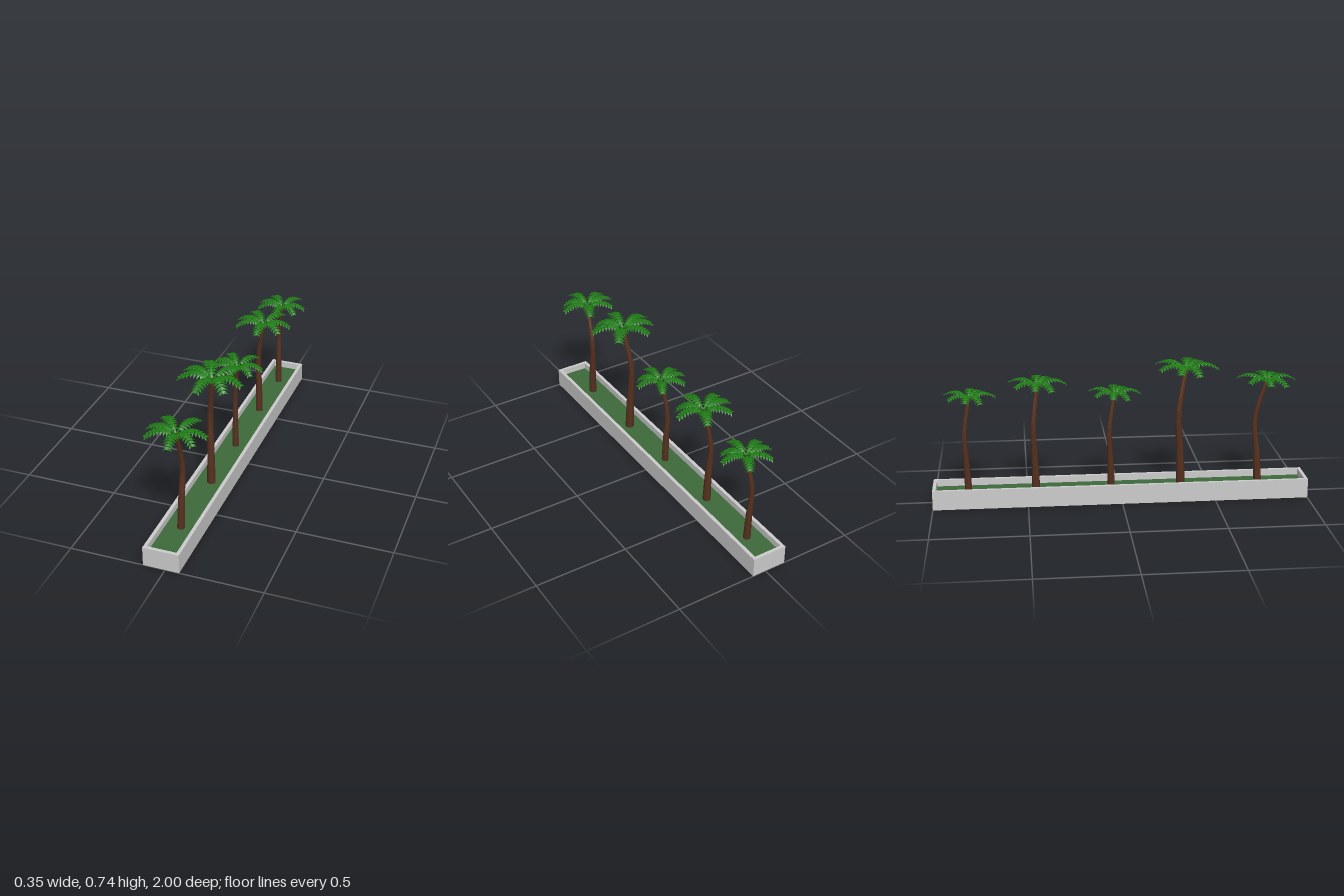
import * as THREE from 'three';

const concrete = new THREE.MeshStandardMaterial({ color: 0xcccccc });
const grass = new THREE.MeshStandardMaterial({ color: 0x3d693a });
const bark = new THREE.MeshStandardMaterial({ color: 0x54301f, flatShading: true });
const leaf = new THREE.MeshStandardMaterial({ color: 0x1f7d14, flatShading: true, side: THREE.DoubleSide });

const SOIL = 0.07;
const CENTRE_X = -0.021;
const v = (x, y, z) => new THREE.Vector3(x, y, z);

function mesh(name, geometry, material) {
  const m = new THREE.Mesh(geometry, material);
  m.name = name;
  return m;
}

// Long open trough with a raised rim and a bed of grass
function createPlanter() {
  const group = new THREE.Group();
  group.name = 'planter';
  const [w, h, d, t] = [0.188, 0.105, 2, 0.018];
  const rectangle = (Type, x, y) => new Type([
    new THREE.Vector2(-x, -y), new THREE.Vector2(x, -y), new THREE.Vector2(x, y), new THREE.Vector2(-x, y),
  ]);
  const outline = rectangle(THREE.Shape, w / 2, d / 2);
  outline.holes.push(rectangle(THREE.Path, w / 2 - t, d / 2 - t));
  const walls = new THREE.ExtrudeGeometry(outline, { depth: h, bevelEnabled: false });
  walls.rotateX(-Math.PI / 2);
  const base = new THREE.BoxGeometry(w - 2 * t, 0.02, d - 2 * t).translate(0, 0.01, 0);
  const bed = new THREE.BoxGeometry(w - 2 * t, SOIL - 0.02, d - 2 * t).translate(0, (SOIL + 0.02) / 2, 0);
  group.add(mesh('planterWalls', walls, concrete), mesh('planterBase', base, concrete), mesh('grassBed', bed, grass));
  group.position.x = CENTRE_X;
  return group;
}

// Tapered trunk whose rings follow a bent path
function trunkGeometry(path, radii) {
  const rings = 10;
  const g = new THREE.CylinderGeometry(1, 1, 1, 8, rings);
  const p = g.attributes.position;
  for (let i = 0; i < p.count; i++) {
    const t = p.getY(i) + 0.5;
    const c = path.getPoint(t);
    const r = THREE.MathUtils.lerp(radii[0], radii[1], t);
    p.setXYZ(i, c.x + p.getX(i) * r, c.y, c.z + p.getZ(i) * r);
  }
  g.computeVertexNormals();
  return g;
}

// Arched frond along +x: a slim midrib with pairs of pointed, drooping leaflets
function frondGeometry(length, tipDrop) {
  const spine = new THREE.CatmullRomCurve3([
    v(0, -0.045, 0), v(length * 0.22, -0.014, 0), v(length * 0.48, -0.002, 0),
    v(length * 0.76, -tipDrop * 0.35, 0), v(length, -tipDrop, 0),
  ]);
  const out = [];
  const tri = (...pts) => pts.forEach((q) => out.push(q.x, q.y, q.z));
  const pairs = 9;
  for (let i = 0; i < pairs; i++) {
    const t = 0.14 + (0.8 * i) / pairs;
    const a = spine.getPoint(t);
    const b = spine.getPoint(t + 0.085);
    const spread = 0.014 + 0.026 * Math.sin(Math.PI * Math.min(1, 0.12 + t * 0.86));
    for (const s of [1, -1]) {
      const tip = a.clone().add(v(0.022, -0.016, s * spread));
      const near = a.clone().lerp(tip, 0.5).add(v(-0.004, 0.004, s * 0.002));
      const far = b.clone().lerp(tip, 0.5).add(v(0.003, 0.004, s * 0.002));
      tri(a, near, b);
      tri(near, far, b);
      tri(near, tip, far);
    }
  }
  // Midrib ribbon and end leaflet
  const steps = 8;
  for (let i = 0; i < steps; i++) {
    const a = spine.getPoint(i / steps);
    const b = spine.getPoint((i + 1) / steps);
    const wa = v(0, 0, 0.006 * (1 - i / steps));
    const wb = v(0, 0, 0.006 * (1 - (i + 1) / steps));
    tri(a.clone().sub(wa), a.clone().add(wa), b.clone().add(wb));
    tri(a.clone().sub(wa), b.clone().add(wb), b.clone().sub(wb));
  }
  const g = new THREE.BufferGeometry();
  g.setAttribute('position', new THREE.Float32BufferAttribute(out, 3));
  g.computeVertexNormals();
  return g;
}

const frondAngles = [-62, 2, 38, 88, 153, 187, 233];
const frondLengths = [0.18, 0.178, 0.155, 0.178, 0.178, 0.165, 0.172];
const frondDrops = [0.035, 0.043, 0.06, 0.045, 0.052, 0.04, 0.03];

// mid and top are [x, z] offsets of the trunk from its foot
function createPalm({ z, scale, turn, mid, top }) {
  const palm = new THREE.Group();
  palm.name = 'palmTree';
  const height = 0.672 * scale;
  const path = new THREE.CatmullRomCurve3([
    v(0, 0, 0), v(mid[0] * 0.4, height * 0.28, mid[1] * 0.4),
    v(mid[0], height * 0.58, mid[1]), v(top[0], height - 0.04 * scale, top[1]),
  ]);
  palm.add(mesh('trunk', trunkGeometry(path, [0.024 * scale, 0.012 * scale]), bark));

  const crown = new THREE.Group();
  crown.name = 'crown';
  frondAngles.forEach((angle, i) => {
    const frond = mesh('frond', frondGeometry(frondLengths[i], frondDrops[i]), leaf);
    frond.rotation.y = -THREE.MathUtils.degToRad(angle + turn);
    crown.add(frond);
  });
  crown.scale.setScalar(scale);
  crown.position.set(top[0], height, top[1]);
  palm.add(crown);
  palm.position.set(CENTRE_X + 0.002, SOIL, z);
  return palm;
}

export function createModel() {
  const model = new THREE.Group();
  model.name = 'palmPlanter';
  model.add(createPlanter());
  const palms = [
    { z: 0.743, scale: 0.89, turn: -5, mid: [0.006, -0.024], top: [0, 0.03] },
    { z: 0.322, scale: 1, turn: 10, mid: [-0.008, -0.016], top: [0.019, 0.023] },
    { z: -0.053, scale: 0.8, turn: 0, mid: [-0.006, -0.01], top: [0.017, 0.019] },
    { z: -0.455, scale: 0.89, turn: -2, mid: [-0.01, -0.008], top: [0.024, 0.016] },
    { z: -0.813, scale: 0.8, turn: 0, mid: [-0.006, -0.011], top: [0.017, 0.019] },
  ];
  palms.forEach((p) => model.add(createPalm(p)));
  return model;
}
